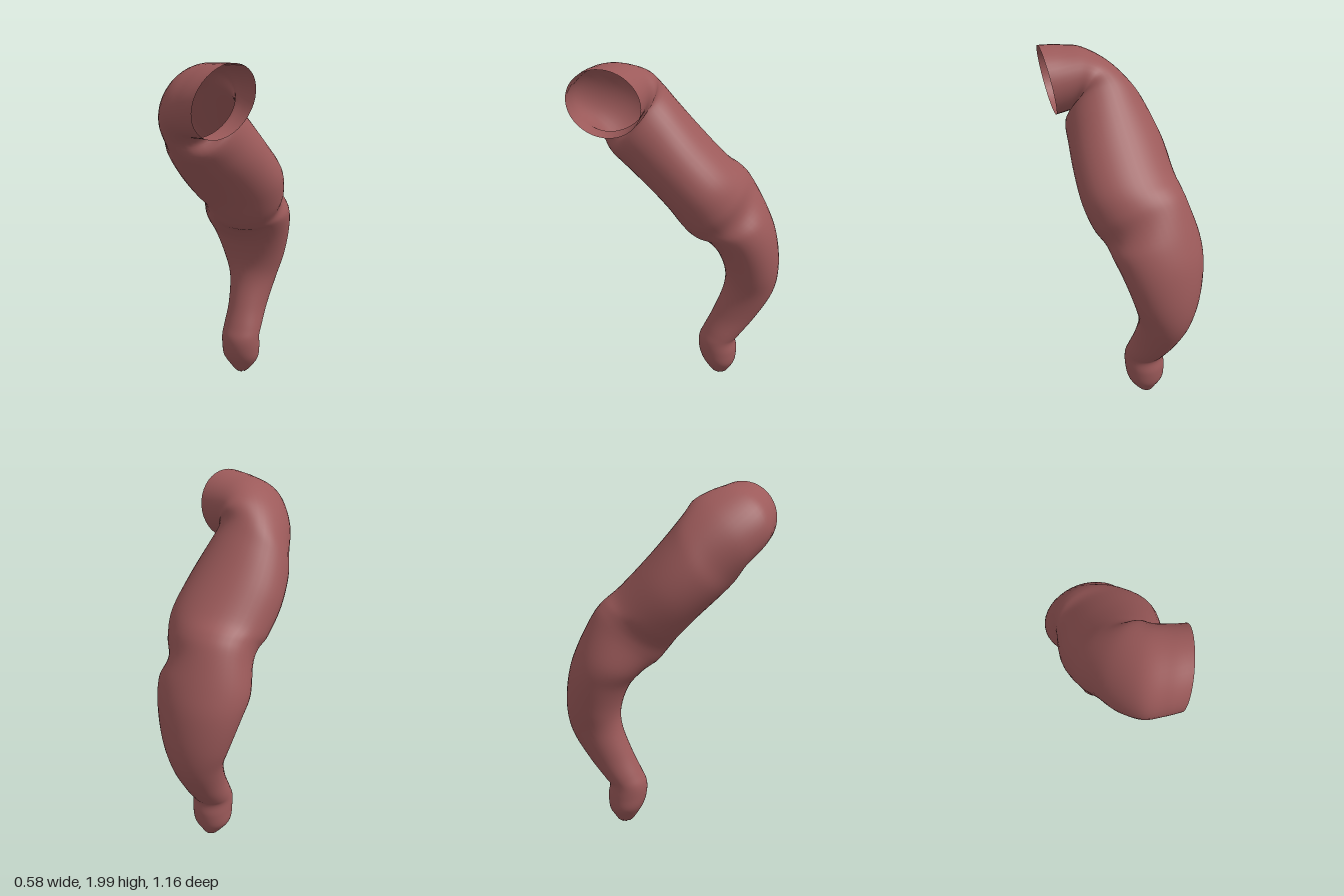
import * as THREE from 'three';

// Cross-sections from the tip to the open mouth: centre, front half-axis, side half-axis
const section = (fz, fy, bz, by, xl, xr, tilt = 0) => [
  [(xl + xr) / 2, (fy + by) / 2, (fz + bz) / 2],
  [0, (fy - by) / 2, (fz - bz) / 2],
  [(xr - xl) / 2, tilt, 0],
];
const SECTIONS = [
  section(-0.21, 0.015, -0.3, 0.015, -0.055, 0.025),
  section(-0.185, 0.05, -0.32, 0.05, -0.085, 0.055),
  section(-0.145, 0.12, -0.345, 0.1, -0.125, 0.09),
  section(-0.125, 0.19, -0.352, 0.18, -0.13, 0.1),
  section(-0.125, 0.26, -0.343, 0.25, -0.13, 0.1),
  section(-0.155, 0.33, -0.37, 0.29, -0.13, 0.1),
  section(-0.21, 0.45, -0.46, 0.41, -0.132, 0.1),
  section(-0.265, 0.6, -0.555, 0.58, -0.16, 0.125),
  section(-0.27, 0.72, -0.582, 0.75, -0.21, 0.17),
  section(-0.22, 0.86, -0.56, 0.95, -0.258, 0.215),
  section(-0.14, 0.955, -0.505, 1.11, -0.278, 0.24),
  section(-0.06, 1.01, -0.42, 1.27, -0.25, 0.225, -0.05),
  section(0.0, 1.08, -0.36, 1.35, -0.25, 0.265, -0.04),
  section(0.07, 1.17, -0.27, 1.43, -0.272, 0.287),
  section(0.17, 1.28, -0.12, 1.59, -0.293, 0.258),
  section(0.29, 1.4, 0.0, 1.73, -0.277, 0.21),
  section(0.37, 1.485, 0.08, 1.83, -0.24, 0.17),
  // bend towards the model's left
  [[-0.02, 1.74, 0.28], [-0.03, -0.17, 0.14], [0.155, -0.04, -0.08]],
  [[0.035, 1.79, 0.345], [-0.05, -0.155, 0.14], [0.1, -0.09, -0.13]],
  [[0.12, 1.8, 0.375], [-0.068, -0.142, 0.138], [0.06, -0.12, -0.135]],
  [[0.195, 1.802, 0.392], [-0.08, -0.135, 0.135], [0.026, -0.135, -0.135]],
];

function tubeGeometry(rows, sides) {
  const [centre, front, side] = [0, 1, 2].map((k) =>
    new THREE.CatmullRomCurve3(SECTIONS.map((s) => new THREE.Vector3(...s[k])), false, 'catmullrom', 0.5));
  const pos = [], index = [];
  for (let i = 0; i <= rows; i++) {
    const t = i / rows;
    const c = centre.getPoint(t), u = front.getPoint(t), v = side.getPoint(t);
    for (let j = 0; j < sides; j++) {
      const a = (j / sides) * Math.PI * 2;
      const p = c.clone().addScaledVector(u, Math.cos(a)).addScaledVector(v, Math.sin(a));
      pos.push(p.x, p.y, p.z);
      if (i < rows) {
        const k = i * sides + j, n = i * sides + ((j + 1) % sides);
        index.push(k, n, k + sides, n, n + sides, k + sides);
      }
    }
  }
  const g = new THREE.BufferGeometry();
  g.setAttribute('position', new THREE.Float32BufferAttribute(pos, 3));
  g.setIndex(index);
  g.computeVertexNormals();
  return g;
}

// Puckered closing at the narrow end: a small scalloped fan
function tipGeometry(sides) {
  const [c, u, v] = SECTIONS[0].map((a) => new THREE.Vector3(...a));
  const pos = [c.x, 0.03, c.z], index = [];
  for (let ring = 0; ring < 2; ring++) {
    for (let j = 0; j < sides; j++) {
      const a = (j / sides) * Math.PI * 2, r = ring ? 1 : 0.6;
      const p = c.clone().addScaledVector(u, Math.cos(a) * r).addScaledVector(v, Math.sin(a) * r);
      if (!ring) p.y = j % 2 ? 0 : 0.012;
      pos.push(p.x, p.y, p.z);
      const k = 1 + j, n = 1 + ((j + 1) % sides);
      if (!ring) index.push(0, n, k, k, n, k + sides, n, n + sides, k + sides);
    }
  }
  const g = new THREE.BufferGeometry();
  g.setAttribute('position', new THREE.Float32BufferAttribute(pos, 3));
  g.setIndex(index);
  g.computeVertexNormals();
  return g;
}

export function createModel() {
  const flesh = new THREE.MeshStandardMaterial({ color: 0x9c5a5a, side: THREE.DoubleSide });
  flesh.name = 'dusty red';
  const model = new THREE.Group();
  model.name = 'bentTube';
  const add = (name, geometry) => {
    const mesh = new THREE.Mesh(geometry, flesh);
    mesh.name = name;
    model.add(mesh);
  };
  add('tubeWall', tubeGeometry(120, 40));
  add('puckeredTip', tipGeometry(16));
  return model;
}
